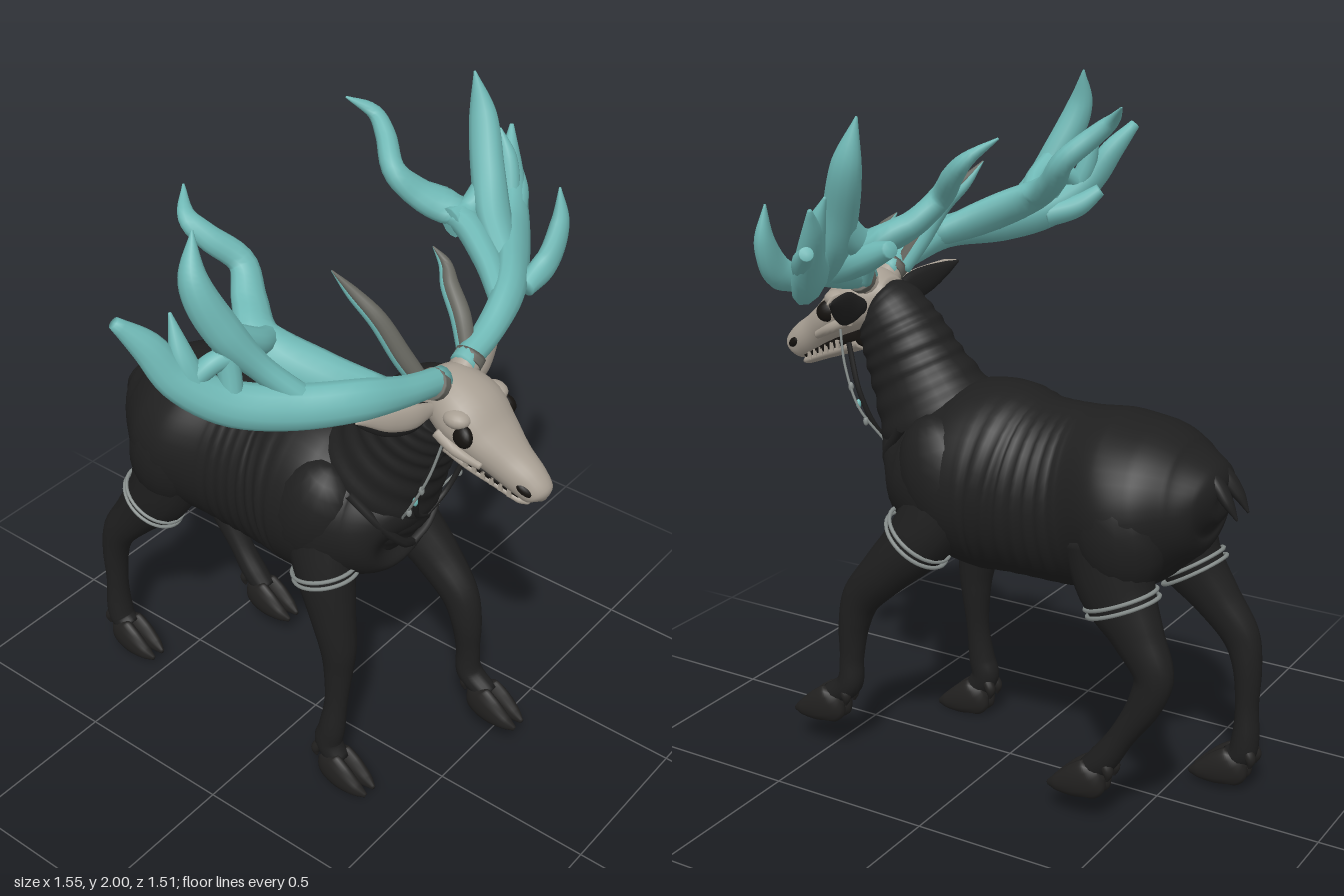
import * as THREE from 'three';

const mat = (name, color) => {
  const m = new THREE.MeshStandardMaterial({ color });
  m.name = name;
  return m;
};

// Smooth closed skin over keys [x, y, z, halfWidth, halfDepth]; ref fixes the roll of the sections
function loft(keys, { ref = [0, 0, 1], seg = 28, sides = 14, shape = () => 1, floor = -1 } = {}) {
  const path = new THREE.CatmullRomCurve3(keys.map(k => new THREE.Vector3(k[0], k[1], k[2])), false, 'centripetal');
  const radii = new THREE.CatmullRomCurve3(keys.map(k => new THREE.Vector3(k[3], k[4] ?? k[3], 0)), false, 'catmullrom', 0.5);
  const up = new THREE.Vector3(...ref), S = new THREE.Vector3(), N = new THREE.Vector3();
  const pos = [], idx = [];
  for (let i = 0; i <= seg; i++) {
    const t = i / seg, c = path.getPoint(t), r = radii.getPoint(t), T = path.getTangent(t);
    S.crossVectors(up, T).normalize();
    N.crossVectors(T, S);
    for (let j = 0; j < sides; j++) {
      const a = j / sides * Math.PI * 2, k = shape(c, a, t);
      const p = c.clone().addScaledVector(S, Math.cos(a) * Math.max(r.x, 0.002) * k)
        .addScaledVector(N, Math.sin(a) * Math.max(r.y, 0.002) * k);
      pos.push(p.x, Math.max(p.y, floor), p.z);
    }
  }
  for (let i = 0; i < seg; i++) for (let j = 0; j < sides; j++) {
    const a = i * sides + j, b = i * sides + (j + 1) % sides;
    idx.push(a, b, a + sides, b, b + sides, a + sides);
  }
  // End caps
  for (const [end, t] of [[0, 0], [seg, 1]]) {
    const c = path.getPoint(t), n = pos.length / 3;
    pos.push(c.x, Math.max(c.y, floor), c.z);
    for (let j = 0; j < sides; j++) {
      const a = end * sides + j, b = end * sides + (j + 1) % sides;
      end ? idx.push(a, b, n) : idx.push(b, a, n);
    }
  }
  const g = new THREE.BufferGeometry();
  g.setAttribute('position', new THREE.Float32BufferAttribute(pos, 3));
  g.setIndex(idx);
  g.computeVertexNormals();
  return g;
}

export function createModel() {
  const hide = mat('black hide', 0x1f1f1f), horn = mat('teal antler', 0x6fb8b5), bone = mat('pale bone', 0xa89f93);
  const hoofMat = mat('dark hoof', 0x222120), grey = mat('grey cord', 0x858c8a), spikeMat = mat('grey spike', 0x66665f);
  const socket = mat('dark socket', 0x15120f);
  const root = new THREE.Group();
  root.name = 'antleredAnimal';
  const animal = new THREE.Group();
  animal.name = 'animal';
  animal.position.x = 0.025;
  root.add(animal);
  const add = (name, geo, m, parent = animal) => {
    const mesh = new THREE.Mesh(geo, m);
    mesh.name = name;
    parent.add(mesh);
    return mesh;
  };
  const ball = (name, m, p, s, rot = [0, 0, 0]) => {
    const b = add(name, new THREE.SphereGeometry(1, 18, 12), m);
    b.position.set(...p); b.scale.set(...s); b.rotation.set(...rot);
  };

  // Torso with rib ridges on the flanks
  add('torso', loft([
    [0, .90, .355, .03, .03], [0, .92, .32, .15, .14], [0, .915, .24, .225, .205], [0, .91, .12, .262, .262],
    [0, .912, 0, .262, .282], [0, .90, -.12, .238, .265], [0, .90, -.28, .23, .262], [0, .92, -.42, .268, .25],
    [0, .94, -.52, .25, .215], [0, .95, -.60, .19, .165], [0, .955, -.655, .135, .11], [0, .95, -.685, .06, .05], [0, .95, -.69, .01, .01],
  ], {
    ref: [0, 1, 0], seg: 150, sides: 40,
    shape: (c, a) => {
      const w = THREE.MathUtils.smoothstep(c.z, -.31, -.24) * (1 - THREE.MathUtils.smoothstep(c.z, -.03, .03));
      return 1 + .022 * w * Math.sin(c.z * 150) * Math.cos(a) ** 2;
    },
  }), hide);

  // Neck with skin folds
  add('neck', loft([
    [0, .90, .12, .17, .2], [0, 1.02, .2, .175, .2], [0, 1.17, .29, .135, .155], [0, 1.28, .35, .118, .13],
    [0, 1.355, .4, .10, .1], [0, 1.37, .43, .06, .06],
  ], { seg: 90, sides: 28, shape: (c, a, t) => 1 + .022 * Math.sin(t * 75) * Math.sin(Math.PI * t) }), hide);

  // Skull, lower jaw, teeth, sockets and nostrils
  add('skull', loft([
    [0, 1.405, .375, .055, .04], [0, 1.395, .42, .085, .08], [0, 1.36, .5, .112, .087], [0, 1.308, .57, .098, .07],
    [0, 1.257, .64, .07, .06], [0, 1.22, .70, .054, .054], [0, 1.192, .738, .04, .04], [0, 1.178, .75, .008, .008],
  ], { seg: 40, sides: 24 }), bone);
  add('lowerJaw', loft([
    [0, 1.255, .47, .07, .03], [0, 1.222, .54, .062, .022], [0, 1.19, .62, .045, .018], [0, 1.16, .69, .03, .014],
    [0, 1.15, .71, .01, .006],
  ]), bone);
  add('mouthInterior', loft([[0, 1.27, .46, .07, .04], [0, 1.23, .58, .058, .03], [0, 1.178, .69, .032, .014]]), socket);
  for (const s of [-1, 1]) {
    for (let i = 0; i < 6; i++) {
      const tooth = add('tooth', new THREE.BoxGeometry(.008, .024, .012), bone);
      tooth.position.set(s * (.063 - i * .0055), 1.24 - i * .0115, .54 + i * .025);
    }
    ball('browRidge', bone, [s * .085, 1.385, .52], [.034, .026, .04]);
    ball('eyeSocket', socket, [s * .095, 1.348, .545], [.022, .032, .038], [.5, s * .35, 0]);
    ball('nostril', socket, [s * .04, 1.218, .715], [.016, .015, .03], [.6, s * -.3, 0]);
    add('cheekBone', loft([[s * .1, 1.33, .47, .018], [s * .103, 1.3, .53, .016], [s * .08, 1.265, .60, .012]]), bone);

    // Ears: dark leaf with a pale inner face set toward its upper edge
    const ear = (dy, dz, k) => loft([
      [s * .085, 1.375 + dy, .43 + dz, .022 * k, .015], [s * .15, 1.382 + dy, .425 + dz, .046 * k, .017],
      [s * .22, 1.398 + dy, .405 + dz, .044 * k, .014], [s * .29, 1.422 + dy, .38 + dz, .022 * k, .008], [s * .328, 1.437, .365 + dz, .003, .003],
    ]);
    add('earBack', ear(0, 0, 1), hide);
    add('earInner', ear(.008, .009, .78), bone);

    // Antler pedicles with a grey collar
    add('pedicle', loft([[s * .04, 1.42, .435, .04], [s * .07, 1.45, .44, .04], [s * .085, 1.46, .44, .036]]), bone);
    add('pedicleCollar', loft([[s * .066, 1.447, .44, .043], [s * .09, 1.462, .438, .044]], { seg: 4 }), spikeMat);

    // Short spikes: grey above, teal beneath
    const h = s < 0 ? .09 : 0;
    const spike = d => loft([
      [s * .1, 1.46 - d, .42 - d, .022], [s * .13, 1.54 - d, .375 - d, .025], [s * .16, 1.6 + h * .5 - d, .315 - d, .022],
      [s * .185, 1.64 + h * .8 - d, .28 - h * .3 - d, .014], [s * (.178 + h * .4), 1.68 + h, .24 - h * .4, .002],
    ]);
    add('browSpike', spike(0), spikeMat);
    add('browSpikeUnderside', spike(.008), horn);

    // Forked tail
    add('tail', loft([
      [s * .02, 1.04, -.6, .03], [s * .03, 1.025, -.665, .03, .022], [s * .037, .975, -.71, .022, .016], [s * .037, .925, -.742, .003],
    ]), hide);
    ball('shoulder', hide, [s * .16, .93, .1], [.11, .19, .14], [.35, 0, 0]);
    ball('haunch', hide, [s * .155, .89, -.45], [.118, .19, .14], [.2, 0, 0]);
  }

  // Legs: keys down to the pastern, then a cloven hoof at [x, floor, heel z]
  const leg = (name, keys, [x, y, z], band) => {
    const g = new THREE.Group();
    g.name = name;
    animal.add(g);
    add('limb', loft([...keys, [x, y + .075, z + .06, .036, .035]], { seg: 48, sides: 16 }), hide, g);
    for (const s of [-1, 1]) {
      add('hoofHalf', loft([
        [x + s * .018, y + .085, z + .012, .014, .02], [x + s * .022, y + .062, z + .04, .026, .058],
        [x + s * .026, y + .04, z + .09, .027, .052], [x + s * .025, y + .02, z + .145, .02, .028],
        [x + s * .02, y + .008, z + .18, .006, .008],
      ], { ref: [0, 1, 0], floor: y }), hoofMat, g);
      add('dewclaw', loft([[x + s * .016, y + .13, z + .01, .016], [x + s * .021, y + .095, z - .012, .016], [x + s * .021, y + .065, z - .01, .004]]), hoofMat, g);
    }
    const [bx, by, bz, rx, rz, tilt] = band;
    for (const d of [0, .02]) {
      const ring = add('legBand', new THREE.TorusGeometry(1, .06, 6, 40), grey, g);
      ring.scale.set(rx, rz, .1);
      ring.position.set(bx, by - d, bz - d * Math.sin(tilt));
      ring.rotation.x = Math.PI / 2 + tilt;
    }
  };
  leg('leftFrontLeg', [
    [.17, .9, .08, .08, .12], [.19, .75, .17, .085, .098], [.205, .63, .28, .07, .075], [.205, .52, .375, .054, .06],
    [.205, .43, .405, .047, .048], [.208, .32, .415, .036, .038], [.21, .23, .425, .039, .04],
  ], [.212, .1, .435], [.187, .755, .175, .093, .106, -.65]);
  leg('rightFrontLeg', [
    [-.17, .9, .12, .08, .12], [-.185, .75, .165, .085, .09], [-.195, .62, .2, .068, .07], [-.198, .5, .225, .054, .056],
    [-.2, .42, .228, .045, .045], [-.21, .3, .228, .035, .036], [-.22, .19, .22, .039, .042], [-.222, .13, .21, .039, .045],
  ], [-.222, 0, .19], [-.184, .765, .16, .092, .1, -.3]);
  leg('leftBackLeg', [
    [.155, .86, -.42, .1, .14], [.17, .72, -.455, .085, .115], [.18, .6, -.525, .062, .078], [.185, .49, -.58, .048, .058],
    [.185, .41, -.56, .045, .05], [.185, .29, -.49, .038, .038], [.185, .2, -.43, .04, .042],
  ], [.185, .08, -.445], [.171, .69, -.468, .086, .11, .4]);
  leg('rightBackLeg', [
    [-.15, .86, -.45, .1, .14], [-.165, .72, -.5, .085, .11], [-.18, .6, -.59, .062, .075], [-.19, .49, -.67, .048, .057],
    [-.19, .4, -.695, .043, .043], [-.19, .27, -.70, .037, .034], [-.19, .17, -.70, .042, .04], [-.19, .12, -.69, .042, .042],
  ], [-.19, .02, -.715], [-.167, .69, -.52, .086, .106, .55]);

  // Antlers: flattened branches that merge into a palm
  const inner = s => [
    [.27, 1.52, .41, .04, .03], [.37, 1.575, .29, .062, .04], [.425, 1.645, .15, .06, .042], [.365, 1.70, .06, .05, .036],
    [.322, 1.77, 0, .038, .032], [.372, 1.84, -.07, .034, .028], [.388, 1.885, -.12, .026, .02], [.333, 1.935, -.18, .003, .003],
  ].map(([x, ...rest]) => [.025 + s * x, ...rest]);
  const antlers = {
    left: [1, [
      [[.07, 1.455, .44, .036], [.2, 1.485, .43, .042, .04], [.34, 1.535, .4, .058, .04], [.48, 1.555, .32, .075, .042],
        [.6, 1.58, .24, .075, .042], [.68, 1.65, .18, .05, .034], [.72, 1.72, .14, .035, .026], [.762, 1.79, .11, .006]],
      [[.42, 1.53, .36, .05, .036], [.5, 1.63, .24, .07, .046], [.555, 1.75, .17, .05, .048], [.6, 1.88, .115, .036, .04], [.6, 2, .08, .003]],
      [[.42, 1.51, .4, .03], [.52, 1.56, .41, .045, .03], [.575, 1.65, .405, .035, .026], [.585, 1.75, .39, .003]],
      [[.6, 1.58, .24, .04, .034], [.69, 1.64, .19, .038, .03], [.755, 1.68, .13, .018]],
      [[.64, 1.62, .2, .035, .03], [.675, 1.73, .16, .028, .026], [.685, 1.81, .12, .004]],
      [[.4, 1.64, .16, .045, .036], [.47, 1.65, .17, .042, .036], [.55, 1.72, .18, .04, .034]],
      [[.4, 1.56, .3, .05, .036], [.47, 1.61, .17, .05, .04], [.51, 1.655, .05, .022]],
    ]],
    right: [-1, [
      [[-.02, 1.455, .44, .036], [-.17, 1.49, .43, .042, .04], [-.31, 1.525, .4, .055, .04], [-.46, 1.535, .29, .06, .042],
        [-.58, 1.57, .19, .058, .042], [-.67, 1.65, .11, .05, .036], [-.71, 1.74, .06, .042, .032], [-.768, 1.82, .01, .016]],
      [[-.42, 1.54, .31, .035, .036], [-.49, 1.64, .22, .035, .04], [-.56, 1.76, .16, .05, .046], [-.595, 1.89, .11, .038, .04], [-.56, 2, .08, .003]],
      [[-.63, 1.6, .15, .035, .03], [-.645, 1.7, .11, .032, .028], [-.64, 1.81, .07, .004]],
      [[-.57, 1.56, .2, .03, .03], [-.56, 1.66, .18, .03, .03], [-.56, 1.77, .15, .03, .03]],
      [[-.64, 1.64, .13, .028, .028], [-.59, 1.68, .16, .028, .028], [-.53, 1.69, .19, .028, .028]],
      [[-.39, 1.65, .16, .035, .034], [-.45, 1.68, .18, .035, .032], [-.54, 1.74, .17, .03, .03]],
      [[-.55, 1.55, .2, .04, .034], [-.6, 1.58, .12, .036, .034], [-.64, 1.63, .06, .02]],
    ]],
  };
  for (const [side, [s, branches]] of Object.entries(antlers)) {
    const g = new THREE.Group();
    g.name = side + 'Antler';
    root.add(g);
    for (const b of [...branches, inner(s)]) add('branch', loft(b, { ref: [.3 * s, .35, .85], seg: 36, sides: 12 }), horn, g);
  }

  // Hanging cords, beads and chest pendant
  const tube = (name, pts, m, r) => add(name, new THREE.TubeGeometry(
    new THREE.CatmullRomCurve3(pts.map(p => new THREE.Vector3(...p))), 32, r, 6), m);
  for (const s of [-1, 1]) {
    tube('cheekCord', [[s * .105, 1.33, .5], [s * .125, 1.2, .47], [s * .13, 1.08, .42], [s * .09, .98, .36]], grey, .004);
    tube('throatCord', [[s * .09, 1.26, .48], [s * .11, 1.12, .43], [s * .07, 1.0, .395], [0, .95, .38]], hide, .008);
    tube('chestFold', [[s * .18, 1.06, .24], [s * .13, .95, .325], [s * .06, .87, .345], [0, .83, .335]], hide, .014);
    for (let i = 0; i < 3; i++) ball('bead', i % 2 ? horn : grey, [s * (.128 - i * .004), 1.14 - i * .05, .448 - i * .022], [.008, .014, .008]);
  }
  ball('chestPendant', grey, [.1, .905, .335], [.014, .04, .012], [.2, .3, -.5]);
  return root;
}
